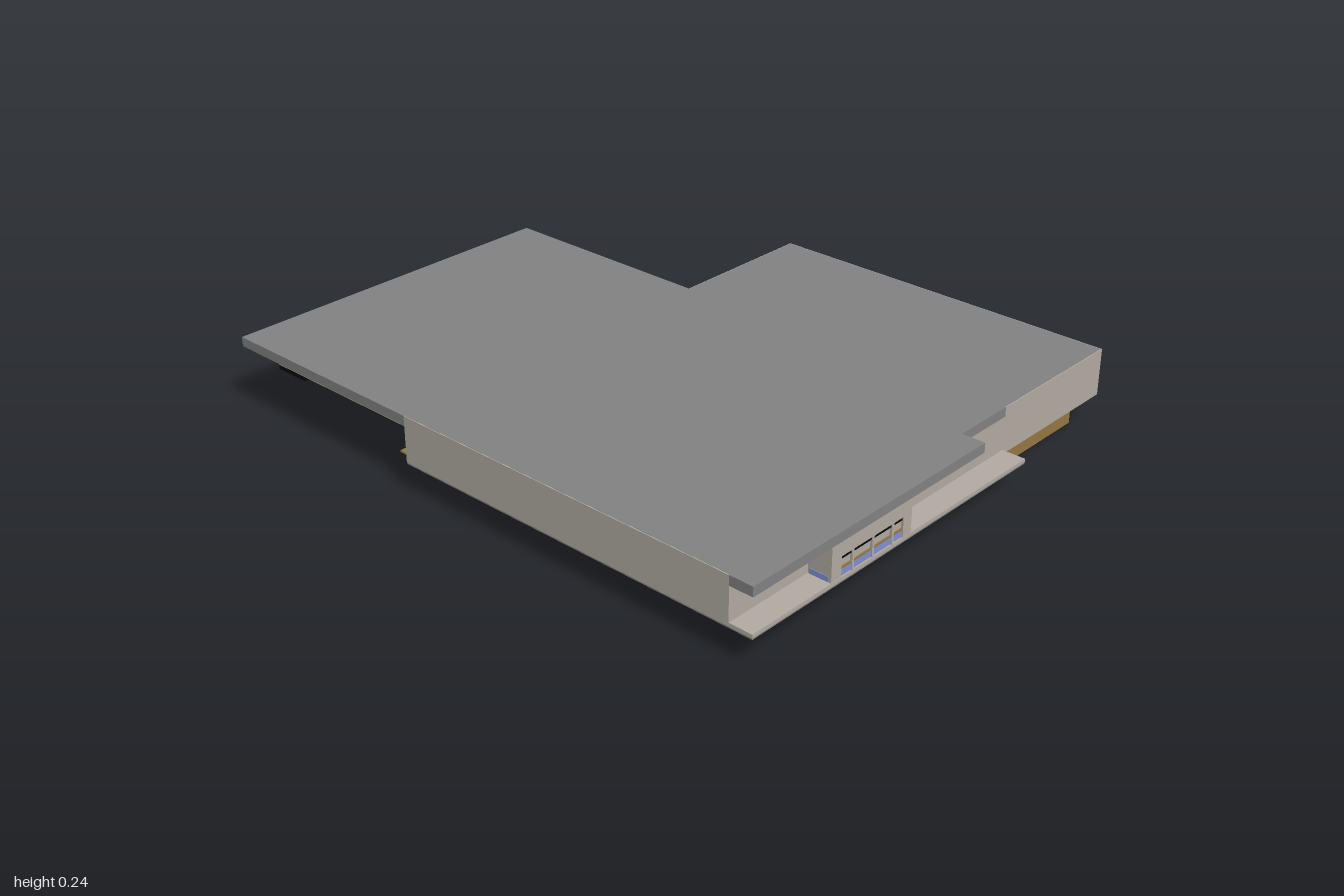
import * as THREE from 'three';

const mat = (name, color) => {
  const m = new THREE.MeshStandardMaterial({ color });
  m.name = name;
  return m;
};

export function createModel() {
  const group = new THREE.Group();
  const grey = mat('roof grey', 0x828282);
  const stone = mat('wall stone', 0xb2aba2);
  const wood = mat('wood brown', 0x967843);
  const blue = mat('gutter blue', 0x8290d2);
  const black = mat('black', 0x0a0a0a);

  // Box given by its min and max corners
  const box = (name, m, x0, x1, y0, y1, z0, z1) => {
    const mesh = new THREE.Mesh(new THREE.BoxGeometry(x1 - x0, y1 - y0, z1 - z0), m);
    mesh.position.set((x0 + x1) / 2, (y0 + y1) / 2, (z0 + z1) / 2);
    mesh.name = name;
    group.add(mesh);
    return mesh;
  };

  // Horizontal slab from a plan outline of [x, z] points, with optional holes
  const slab = (name, m, pts, y0, y1, holes = []) => {
    const toV = p => p.map(([x, z]) => new THREE.Vector2(x, -z));
    const shape = new THREE.Shape(toV(pts));
    holes.forEach(h => shape.holes.push(new THREE.Path(toV(h))));
    const geo = new THREE.ExtrudeGeometry(shape, { depth: y1 - y0, bevelEnabled: false });
    geo.rotateX(-Math.PI / 2);
    const mesh = new THREE.Mesh(geo, m);
    mesh.position.y = y0;
    mesh.name = name;
    group.add(mesh);
  };
  const rect = (x0, x1, z0, z1) => [[x0, z0], [x1, z0], [x1, z1], [x0, z1]];

  // Roof, let in slightly where the outer walls rise beside it
  slab('roof', grey, [
    [-0.83, 1], [0.12, 1], [0.12, 0.925], [0.33, 0.925], [0.33, 0.922], [0.827, 0.922],
    [0.827, -0.257], [0.33, -0.257], [0.33, -1], [-0.83, -1], [-0.83, -0.26],
    [-0.827, -0.26], [-0.827, 0.925], [-0.83, 0.925],
  ], 0.21, 0.24);

  // Floor: stone top on a grey underside
  const floor = [[-0.83, 1], [0.33, 1], [0.33, 0.922], [0.827, 0.922], [0.827, -0.257], [-0.83, -0.257]];
  slab('floor', stone, floor, 0.094, 0.105);
  slab('floorUnderside', grey, floor, 0.09, 0.094);

  // Outer walls
  const t = 0.02, top = 0.2395;
  box('wingSideWall', stone, 0.83 - t, 0.83, 0.09, top, -0.26, 0.925);
  box('wingFrontWall', stone, 0.33, 0.83 - t, 0.09, top, 0.925 - t, 0.925);
  box('wingBackWall', stone, 0.33, 0.83 - t, 0.09, top, -0.26, -0.26 + t);
  box('innerBackWall', stone, 0.15, 0.33, 0.1, 0.21, -0.26, -0.26 + t);
  box('mainSideWall', stone, -0.83, -0.83 + t, 0.094, top, -0.26, 0.925);
  box('mainFrontWall', stone, -0.83 + t, 0.33, 0.105, 0.21, 0.925 - t, 0.925);
  box('mainBackCorner', stone, -0.83 + t, -0.69, 0.1, 0.21, -0.26, -0.26 + t);

  // Lane hall side walls and rear lintel
  for (const x of [-0.71, 0.15 - t]) box('laneHallWall', stone, x, x + t, 0.105, 0.21, -1, -0.26);
  box('rearLintel', stone, -0.69, 0.13, 0.185, 0.21, -0.998, -0.875);

  // Black end unit behind the lanes
  box('laneEndUnit', black, -0.69, 0.13, 0.105, 0.185, -0.998, -0.875);
  box('laneEndBase', black, -0.71, 0.15, 0.09, 0.105, -1, -0.875);

  // Lanes with a pair of gutters between neighbours
  const lanes = 6, x0 = -0.69, pitch = 0.82 / lanes;
  for (let i = 0; i < lanes; i++) {
    const x = x0 + i * pitch;
    box('lane', wood, x, x + pitch, 0.109, 0.114, -0.875, -0.26);
    for (const g of [0.012, pitch - 0.026])
      box('gutter', blue, x + g, x + g + 0.014, 0.106, 0.115, -0.875, -0.26);
  }
  box('laneStep', wood, -0.81, -0.71, 0.1, 0.106, -0.31, -0.26);

  // Projecting entrance with four glazed bays
  box('entrance', stone, -0.53, -0.2, 0.105, 0.21, 0.92, 0.992);
  box('entranceHead', stone, -0.53, -0.2, 0.166, 0.21, 0.992, 0.999);
  const bays = [[-0.49, -0.447], [-0.439, -0.365], [-0.357, -0.283], [-0.275, -0.235]];
  const edges = [-0.53, ...bays.flat(), -0.2];
  for (let i = 0; i < edges.length; i += 2)
    box('entrancePost', stone, edges[i], edges[i + 1], 0.105, 0.166, 0.992, 0.999);
  for (const [a, b] of bays) {
    box('bayHead', black, a, b, 0.156, 0.166, 0.992, 0.996);
    box('bayRail', wood, a, b, 0.126, 0.132, 0.992, 0.996);
    box('bayPanel', blue, a, b, 0.106, 0.126, 0.992, 0.996);
  }
  for (const x of [-0.532, -0.2])
    box('entranceSidePanel', blue, x, x + 0.002, 0.106, 0.122, 0.93, 0.99);

  // Sunken timber base under the wing, open below
  slab('baseFrame', wood, rect(0.37, 0.77, -0.2, 0.875), 0, 0.09, [rect(0.45, 0.7, -0.14, 0.81)]);
  box('baseCeiling', wood, 0.45, 0.7, 0.03, 0.04, -0.14, 0.81);
  box('basePit', black, 0.51, 0.66, 0.024, 0.03, -0.12, 0.78);
  box('baseRail', wood, 0.475, 0.485, 0.015, 0.03, -0.1, 0.77);

  return group;
}
